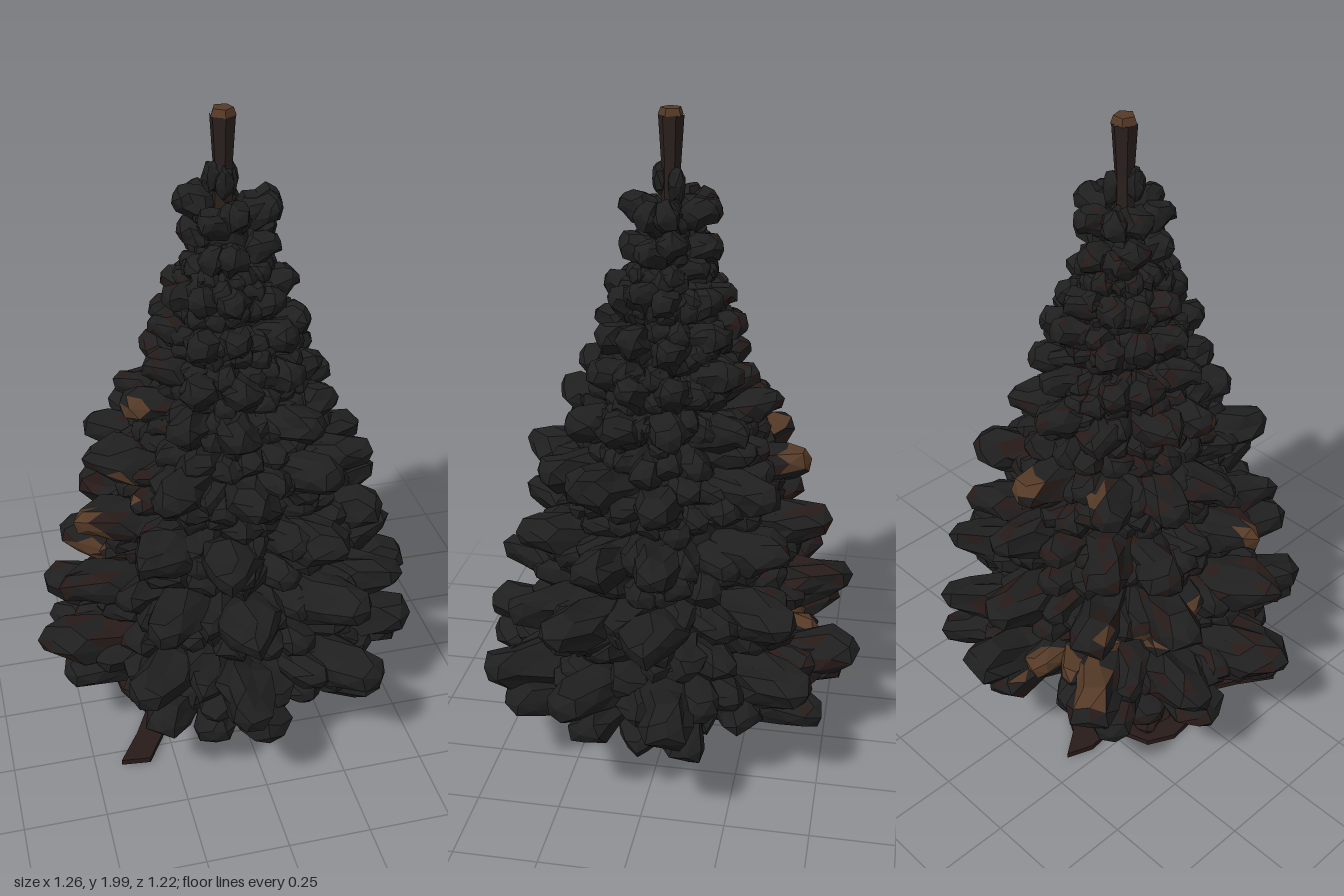
import * as THREE from 'three';
import { mergeGeometries } from 'three/addons/utils/BufferGeometryUtils.js';

let seed = 7;
const rand = () => {
  seed = (seed * 16807) % 2147483647;
  return seed / 2147483647;
};
const jitter = (a) => (rand() * 2 - 1) * a;

const material = (name, color) => {
  const m = new THREE.MeshStandardMaterial({ color });
  m.name = name;
  return m;
};

// Flat facets come from unshared corners
function flat(geo) {
  const g = geo.index ? geo.toNonIndexed() : geo;
  g.deleteAttribute('uv');
  g.computeVertexNormals();
  return g;
}

// Blunt faceted needle clump, long axis on z, its corners pushed about by a wave rule
function clump(halfLength, halfWidth, halfHeight) {
  const g = new THREE.IcosahedronGeometry(1, 1);
  const p = g.attributes.position;
  const k = rand() * 40;
  const v = new THREE.Vector3();
  for (let i = 0; i < p.count; i++) {
    v.fromBufferAttribute(p, i);
    const s = 1 + 0.16 * Math.sin(v.x * 7 + k) + 0.16 * Math.sin(v.y * 8 + v.z * 6 + k * 2);
    const fat = s * (1 + 0.3 * v.z * v.z) * (1 - 0.17 * v.z);
    const reach = v.z * (1.15 - 0.15 * v.z * v.z) * (0.9 + 0.1 * s);
    p.setXYZ(i, v.x * fat * halfWidth, v.y * fat * halfHeight, reach * halfLength);
  }
  return g;
}

// Places a clump so that its outer end reaches the given radius and height
function placeClump(list, angle, tipRadius, tipY, size, pitch) {
  const [l, w, h] = size;
  const g = clump(l, w, h);
  g.rotateZ(jitter(0.4));
  g.rotateX(-pitch);
  g.translate(0, tipY - 0.8 * l * Math.sin(pitch), tipRadius - l * Math.cos(pitch));
  g.rotateY(angle);
  list.push(flat(g));
}

// Bough directions as seen from above, as [x, z]
const tips = [
  [0.04, -0.61], [0.35, -0.47], [0.63, -0.1], [0.54, 0.24], [0.35, 0.51],
  [-0.08, 0.61], [-0.38, 0.45], [-0.63, 0.1], [-0.57, -0.23], [-0.38, -0.5],
];

// Tiers as [height of the tips, radius]
const tiers = [
  [0.375, 0.62], [0.58, 0.57], [0.775, 0.505], [0.97, 0.45], [1.145, 0.345],
  [1.275, 0.28], [1.39, 0.245], [1.5, 0.2], [1.635, 0.155], [1.73, 0.155],
];

function buildClumps() {
  const list = [];
  tiers.forEach(([y, r], t) => {
    const size = [0.3 * r + 0.015, 0.028 + 0.1 * r, 0.034 + 0.06 * r];
    const scaled = (f) => size.map((s) => s * f);
    const crown = t > 7;
    tips.forEach(([x, z], i) => {
      if (crown && i % 3 === 1) return;
      const a = Math.atan2(x, z) + (t ? jitter(0.12) : 0);
      const reach = t ? r * (0.94 + rand() * 0.07) : Math.hypot(x, z);
      placeClump(list, a, reach, y + (t ? jitter(0.022) : jitter(0.01)), size, t > 4 ? 0.38 : 0.2);
      if (crown) {
        placeClump(list, a + 0.3, reach * 0.65, y - 0.035, scaled(0.7), 0.2);
        return;
      }
      // Side shoots, drooping shoot below and filling shoots above
      for (const s of [-1, 1]) {
        placeClump(list, a + s * (0.23 + jitter(0.06)), reach * (0.77 + jitter(0.06)),
          y - 0.03 * (0.4 + r) + jitter(0.035), scaled(0.82), 0.1);
      }
      placeClump(list, a + jitter(0.2), reach * 0.82, y - 0.03 - 0.08 * r, scaled(0.8), -0.1);
      for (const s of [0.1, 0.42]) {
        placeClump(list, a + s + jitter(0.08), reach * (0.68 + jitter(0.05)),
          y + 0.03 + 0.085 * r + jitter(0.02), scaled(0.8), 0.15);
      }
    });
  });
  // Drooping skirt under the lowest tier
  tips.forEach(([x, z]) => {
    const a = Math.atan2(x, z);
    placeClump(list, a + 0.1, 0.575 + jitter(0.02), 0.28 + jitter(0.015), [0.17, 0.08, 0.06], 0.05);
    placeClump(list, a - 0.2, 0.45 + jitter(0.04), 0.23 + jitter(0.04), [0.13, 0.075, 0.055], -0.25);
    placeClump(list, a + 0.3, 0.37 + jitter(0.04), 0.215 + jitter(0.04), [0.12, 0.07, 0.05], -0.25);
  });
  // Dense heart of the crown
  const heart = new THREE.LatheGeometry([
    [0.02, 0.3], [0.2, 0.3], [0.27, 0.4], [0.26, 0.55], [0.22, 0.78], [0.18, 0.98],
    [0.14, 1.15], [0.11, 1.35], [0.08, 1.52], [0.05, 1.68], [0.02, 1.74],
  ].map(([r, y]) => new THREE.Vector2(r, y)), 11);
  list.push(flat(heart));
  return mergeGeometries(list);
}

// Scorched places as [x, y, z, radius]
const scorched = [
  [-0.5, 0.53, 0.1, 0.04], [-0.3, 1.15, 0.1, 0.05], [-0.34, 0.91, 0.14, 0.06],
  [-0.3, 0.23, 0.4, 0.06], [0, 1.0, -0.38, 0.06], [-0.47, 0.78, 0.1, 0.065],
  [-0.2, 1.03, -0.3, 0.05], [-0.34, 0.62, -0.35, 0.05],
];

// A scorched streak climbs round the back right of the crown
function onStreak(c) {
  const turn = Math.atan2(-c.x, -c.z);
  const rise = c.y - 0.33 - 0.16 * turn;
  return turn > 0.1 && turn < 1.45 && Math.abs(rise) < 0.035 && Math.hypot(c.x, c.z) > 0.38;
}

// Sorts the facets into needles, scorched wood and ruddy undergrowth
function splitByColour(geo) {
  const p = geo.attributes.position;
  const sets = [[], [], []];
  const c = new THREE.Vector3();
  const spot = new THREE.Vector3();
  for (let i = 0; i < p.count; i += 3) {
    c.set(0, 0, 0);
    const xyz = Array.from(p.array.slice(i * 3, i * 3 + 9));
    for (let j = 0; j < 9; j += 3) c.add(spot.set(xyz[j], xyz[j + 1], xyz[j + 2]));
    c.divideScalar(3);
    const hot = onStreak(c) || scorched.some(([x, y, z, r]) => c.distanceTo(spot.set(x, y, z)) < r);
    const shaded = c.x + c.z < -0.1 && rand() < 0.17;
    sets[hot ? 1 : shaded ? 2 : 0].push(...xyz);
  }
  return sets.map((s) => {
    const g = new THREE.BufferGeometry();
    g.setAttribute('position', new THREE.Float32BufferAttribute(s, 3));
    g.computeVertexNormals();
    return g;
  });
}

export function createModel() {
  seed = 7;
  const needles = material('charcoal needles', 0x1f1f1f);
  const wood = material('scorched wood', 0x553a27);
  const ruddy = material('ruddy undergrowth', 0x271b19);
  const bark = material('dark bark', 0x29201d);
  const tree = new THREE.Group();
  tree.name = 'tree';
  const add = (name, geo, mat) => {
    const mesh = new THREE.Mesh(geo, mat);
    mesh.name = name;
    tree.add(mesh);
    return mesh;
  };

  const [a, b, c] = splitByColour(buildClumps());
  add('boughs', a, needles);
  add('scorchedBoughs', b, wood);
  add('ruddyBoughs', c, ruddy);

  // Trunk with a flared foot and a bare top
  const trunk = flat(new THREE.LatheGeometry([
    [0.062, 0.01], [0.052, 0.05], [0.042, 0.11], [0.038, 0.3], [0.034, 1.2], [0.028, 1.84], [0.037, 1.98],
  ].map(([r, y]) => new THREE.Vector2(r, y)), 6));
  add('trunk', trunk, bark).position.x = -0.015;
  const cap = flat(new THREE.CylinderGeometry(0.03, 0.038, 0.022, 5));
  add('trunkTop', cap, wood).position.set(-0.015, 1.989, 0);

  // Small twigs on the bare leader
  for (const [x, z, y] of [[-0.05, 0.01, 1.81], [0.01, -0.02, 1.79], [-0.02, 0.03, 1.8]]) {
    add('twig', flat(clump(0.025, 0.025, 0.045)), needles).position.set(x, y, z);
  }

  // Roots spreading from the foot
  for (const [angle, length] of [[-0.5, 0.13], [0, 0.15], [Math.PI, 0.17], [-1.6, 0.14], [-2.4, 0.15]]) {
    const root = new THREE.ConeGeometry(0.045, length, 5);
    root.rotateX(Math.PI / 2 + 0.35);
    root.translate(0, 0.045, length / 2);
    root.rotateY(angle);
    add('root', flat(root), angle === -0.5 ? wood : ruddy).position.x = -0.015;
  }

  // Thin ragged sheet of ground litter on the right side
  const outline = [
    [0.035, 0.05], [0.035, -0.06], [-0.03, -0.14], [-0.06, -0.3], [-0.13, -0.34], [-0.19, -0.42],
    [-0.22, -0.34], [-0.21, -0.24], [-0.33, -0.2], [-0.37, -0.12], [-0.36, -0.02], [-0.3, 0.1],
    [-0.35, 0.2], [-0.42, 0.31], [-0.33, 0.32], [-0.24, 0.17], [-0.1, 0.13],
  ].map(([x, z]) => new THREE.Vector2(x, -z));
  const litter = new THREE.ExtrudeGeometry(new THREE.Shape(outline), { depth: 0.018, bevelEnabled: false });
  litter.rotateX(-Math.PI / 2);
  litter.translate(0, 0.01, 0);
  add('groundLitter', flat(litter), ruddy);
  for (const [x, z, l] of [[-0.2, 0.02, 0.12], [-0.27, -0.12, 0.07], [-0.1, -0.1, 0.12]]) {
    add('litterMound', flat(clump(l, l * 0.6, 0.018)), ruddy).position.set(x, 0.03, z);
  }

  // Little bud standing beside the trunk
  add('bud', flat(clump(0.02, 0.02, 0.045)), ruddy).position.set(-0.1, 0.06, 0.2);

  return tree;
}
